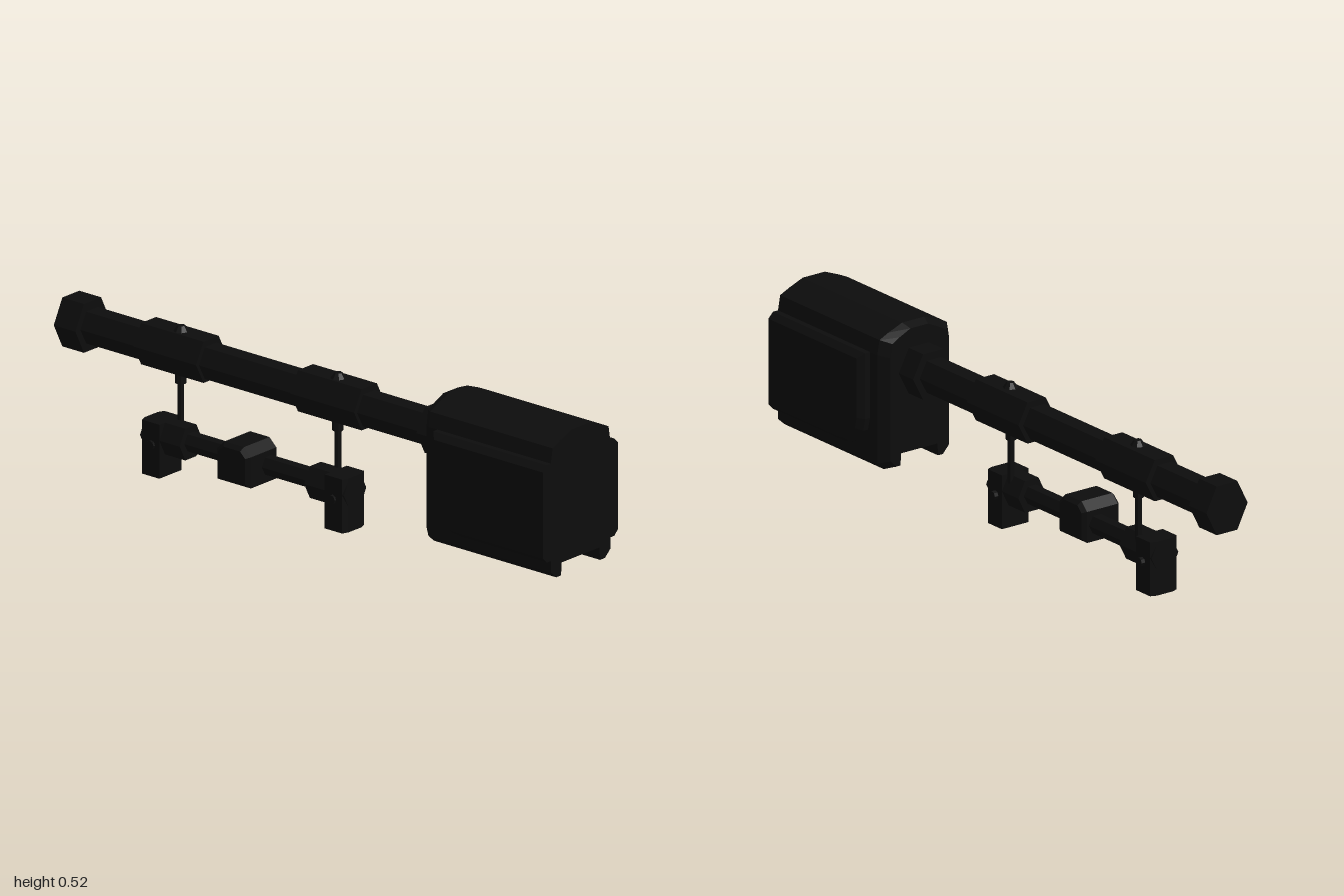
import * as THREE from 'three';

const black = new THREE.MeshStandardMaterial({ color: 0x0d0d0d, flatShading: true });
black.name = 'matte black';

export function createModel() {
  const model = new THREE.Group();
  const add = (name, geo, x = 0, y = 0, z = 0) => {
    const m = new THREE.Mesh(geo, black);
    m.name = name;
    m.position.set(x, y, z);
    model.add(m);
    return m;
  };
  const poly = (pts) => new THREE.Shape(pts.map(([a, b]) => new THREE.Vector2(a, b)));

  // Six-sided bar along x, flat on top, with half height hy and half width hz
  const hexBar = (name, x0, x1, y, z, hy, hz) => {
    const g = new THREE.CylinderGeometry(1, 1, x1 - x0, 6);
    g.rotateZ(Math.PI / 2);
    g.scale(1, hy / 0.866, hz);
    // put corners on the z axis
    return add(name, g, (x0 + x1) / 2, y, z);
  };

  // Main rod with end cap, collar and two sleeves
  hexBar('mainRod', -0.98, 0.5, 0.38, 0, 0.05, 0.053);
  hexBar('endCap', -1, -0.915, 0.38, -0.002, 0.077, 0.077);
  hexBar('housingCollar', 0.42, 0.51, 0.382, -0.002, 0.072, 0.075);
  hexBar('sleeve', -0.695, -0.45, 0.384, -0.002, 0.065, 0.068);
  hexBar('sleeve', -0.08, 0.17, 0.384, -0.002, 0.065, 0.068);

  // Housing body: cross-section swept along x, narrowed at its inner end
  const half = [[0.085, 0.118], [0.088, 0.078], [0.11, 0.078], [0.134, 0.1],
    [0.134, 0.443], [0.126, 0.489], [0.092, 0.505], [0.041, 0.525]];
  const section = poly([...half, ...half.map(([a, b]) => [-a, b]).reverse()]);
  const body = new THREE.ExtrudeGeometry(section, { depth: 0.51, steps: 17, bevelEnabled: false });
  const p = body.attributes.position;
  for (let i = 0; i < p.count; i++) {
    if (p.getZ(i) < 0.001) {
      p.setX(i, p.getX(i) * 0.8);
      p.setY(i, 0.3 + (p.getY(i) - 0.3) * 0.95);
    }
  }
  body.rotateY(Math.PI / 2);
  add('housingBody', body, 0.49);

  // Raised cheek panels on both sides of the housing
  const cheek = poly([[0.555, 0.443], [0.555, 0.235], [0.565, 0.195], [0.59, 0.16],
    [0.625, 0.141], [0.66, 0.136], [1.03, 0.136], [1.03, 0.443]]);
  const panel = new THREE.ExtrudeGeometry(cheek, {
    depth: 0.304, bevelSize: 0.018, bevelOffset: -0.018, bevelThickness: 0.018, bevelSegments: 1 });
  const q = panel.attributes.position;
  for (let i = 0; i < q.count; i++) q.setX(i, Math.min(q.getX(i), 1));
  add('housingCheeks', panel, 0, 0, -0.152);

  // Lower handle rod with its central block
  hexBar('lowerRod', -0.6, 0.09, 0.123, 0.033, 0.027, 0.03);
  const block = poly([[-0.325, 0.07], [-0.195, 0.07], [-0.195, 0.168], [-0.222, 0.194],
    [-0.298, 0.194], [-0.325, 0.168]]);
  add('lowerRodBlock', new THREE.ExtrudeGeometry(block, {
    depth: 0.115, bevelSize: 0.012, bevelOffset: -0.012, bevelThickness: 0.012, bevelSegments: 1 }), 0, 0, -0.003);

  // Corner brackets with feet, pins and bolts, mirrored about the handle middle
  const mid = -0.255;
  for (const s of [-1, 1]) {
    const at = (d) => mid + s * d;
    hexBar('cornerBracket', at(0.322) - 0.078, at(0.322) + 0.078, 0.12, 0.033, 0.05, 0.05);
    const foot = poly([[-0.05, -0.03], [-0.03, -0.038], [0.03, -0.038], [0.05, -0.03],
      [0.05, 0.038], [-0.05, 0.038]]);
    const f = new THREE.ExtrudeGeometry(foot, { depth: 0.17, bevelEnabled: false });
    f.rotateX(-Math.PI / 2);
    f.rotateY(s > 0 ? -Math.PI / 2 : Math.PI / 2);
    f.rotateY(Math.PI / 2);
    f.rotateY(Math.PI / 2);
    f.scale(1, 1, 1);
    add('foot', f, at(0.362), 0, 0.033);
    const bolt = new THREE.CylinderGeometry(0.014, 0.014, 0.12, 8);
    bolt.rotateX(Math.PI / 2);
    add('bracketBolt', bolt, at(0.355), 0.1, 0.03);

    // Vertical pin with a knob on top of the sleeve
    const pinX = at(0.308);
    add('pin', new THREE.CylinderGeometry(0.01, 0.01, 0.34, 8), pinX, 0.28, 0.005);
    add('pinCollar', new THREE.CylinderGeometry(0.017, 0.017, 0.07, 8), pinX, 0.32, 0.005);
    add('pinKnob', new THREE.CylinderGeometry(0.012, 0.027, 0.022, 8), pinX, 0.455, 0.003);
  }
  return model;
}
